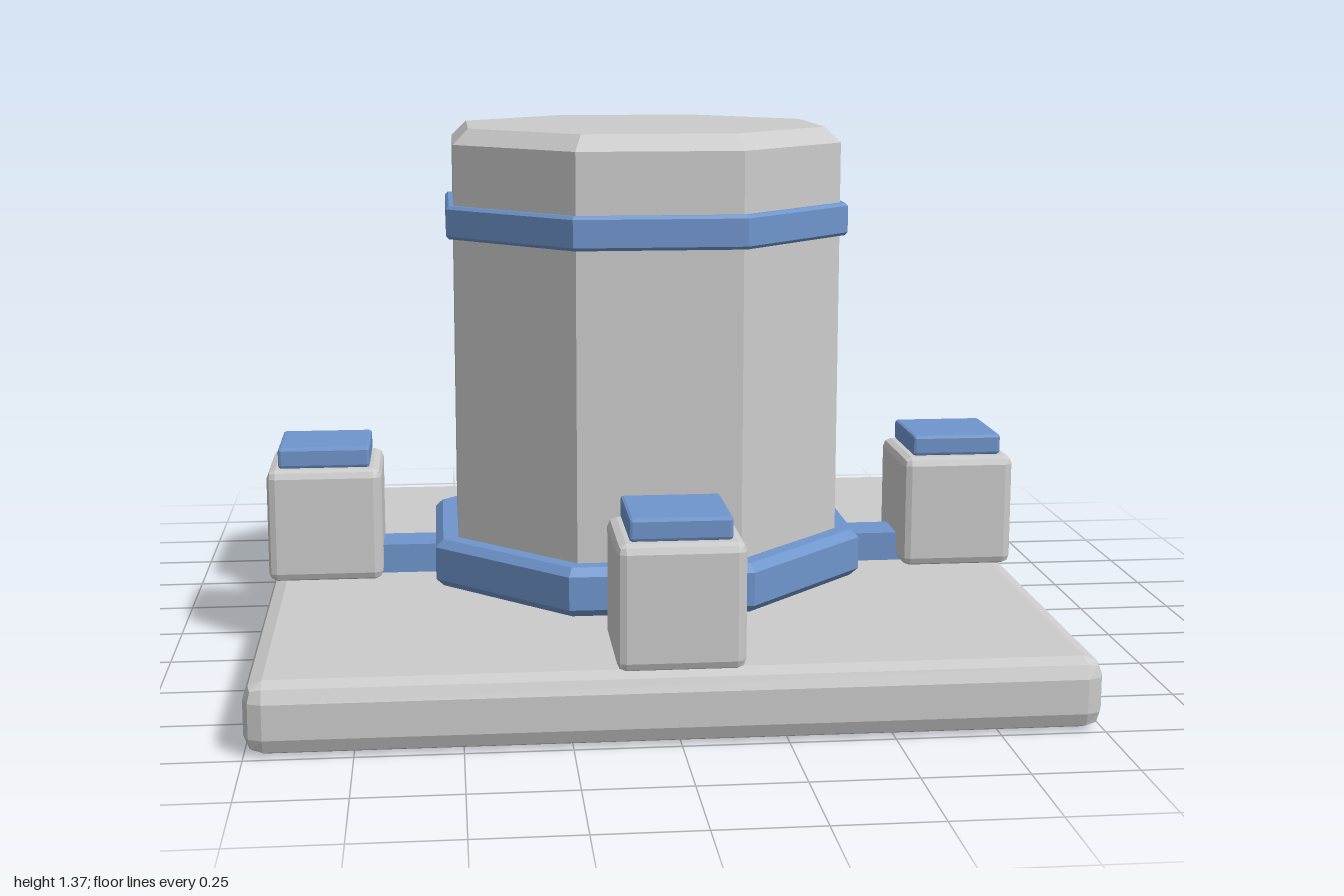
import * as THREE from 'three';
import { RoundedBoxGeometry } from 'three/addons/geometries/RoundedBoxGeometry.js';

const grey = new THREE.MeshStandardMaterial({ color: 0xcccccc, flatShading: true });
const blue = new THREE.MeshStandardMaterial({ color: 0x6f95cc, flatShading: true });

function add(parent, name, geometry, material, x = 0, y = 0, z = 0) {
  const mesh = new THREE.Mesh(geometry, material);
  mesh.name = name;
  mesh.position.set(x, y, z);
  parent.add(mesh);
  return mesh;
}

// Eight-sided solid from [distance to flat, height] pairs, flats facing the axes
function octagon(profile) {
  const k = 1 / Math.cos(Math.PI / 8);
  const points = profile.map(([r, y]) => new THREE.Vector2(r * k, y));
  return new THREE.LatheGeometry(points, 8, Math.PI / 8);
}

// Eight-sided ring with chamfered outer edges
function ring(inner, outer, y0, y1, bevel) {
  return octagon([
    [inner, y0], [outer - bevel, y0], [outer, y0 + bevel],
    [outer, y1 - bevel], [outer - bevel, y1], [inner, y1],
  ]);
}

export function createModel() {
  const model = new THREE.Group();
  model.name = 'reactorTank';

  // Base slab
  add(model, 'base', new RoundedBoxGeometry(2, 0.174, 2, 1, 0.045), grey, 0, 0.087, 0);

  // Tank with chamfered lid edge
  add(model, 'tank', octagon([[0, 0.17], [0.5, 0.17], [0.5, 1.33], [0.46, 1.37], [0, 1.37]]), grey);

  // Collar at the foot and band near the top
  add(model, 'footCollar', ring(0.49, 0.56, 0.18, 0.305, 0.02), blue);
  add(model, 'upperBand', ring(0.49, 0.52, 1.09, 1.175, 0.008), blue);

  // Four pedestals, each with a cap and a conduit to the tank
  for (let i = 0; i < 4; i++) {
    const pedestal = new THREE.Group();
    pedestal.name = 'pedestal' + (i + 1);
    pedestal.rotation.y = i * Math.PI / 2;
    add(pedestal, 'block', new RoundedBoxGeometry(0.3, 0.3, 0.3, 1, 0.022), grey, 0, 0.327, 0.85);
    add(pedestal, 'cap', new RoundedBoxGeometry(0.24, 0.055, 0.24, 1, 0.008), blue, 0, 0.505, 0.85);
    add(pedestal, 'conduit', new THREE.BoxGeometry(0.124, 0.078, 0.28), blue, 0, 0.212, 0.62);
    model.add(pedestal);
  }
  return model;
}
